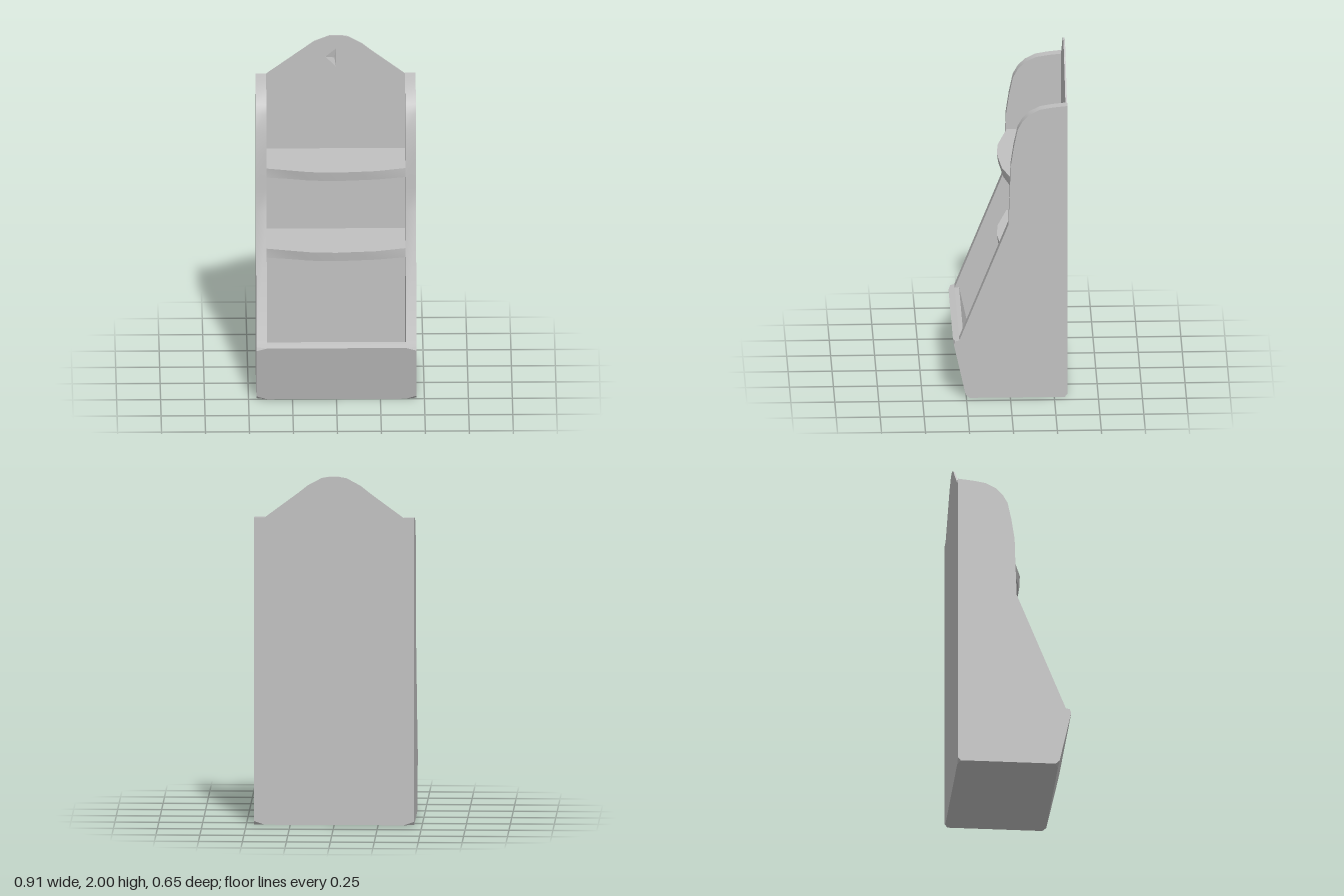
import * as THREE from 'three';
import { toCreasedNormals } from 'three/addons/utils/BufferGeometryUtils.js';

const INNER = 0.395, OUTER = 0.455, BACK = -0.325;
const paint = new THREE.MeshStandardMaterial({ color: 0xc0c0c0 });
paint.name = 'plain grey';

const shapeOf = pts => new THREE.Shape(pts.map(p => new THREE.Vector2(p[0], p[1])));

// Extrude a (z, y) profile from x1 down to x0
function alongX(pts, x0, x1) {
  const g = new THREE.ExtrudeGeometry(shapeOf(pts), { depth: x1 - x0, bevelEnabled: false });
  return g.rotateY(-Math.PI / 2).translate(x1, 0, 0);
}

export function createModel() {
  const group = new THREE.Group();
  const add = (name, geometry) => {
    const mesh = new THREE.Mesh(geometry, paint);
    mesh.name = name;
    group.add(mesh);
    return mesh;
  };

  // Side panels, with the outer corners clipped and the inner corners full
  const sideProfile = [
    [BACK, 0.02], [BACK + 0.015, 0], [0.232, 0], [0.2545, 0.02],
    [0.321, 0.322], [0.313, 0.344], [0.29, 0.35], [0.01, 1.05], [0.004, 1.2],
    [-0.002, 1.4], [-0.02, 1.52], [-0.042, 1.625], [-0.07, 1.675], [-0.11, 1.715],
    [-0.17, 1.745], [-0.24, 1.757], [BACK, 1.766],
  ];
  for (const s of [1, -1]) {
    const g = s > 0 ? alongX(sideProfile, INNER, OUTER) : alongX(sideProfile, -OUTER, -INNER);
    const p = g.attributes.position;
    for (let i = 0; i < p.count; i++) {
      if (Math.abs(p.getX(i)) > INNER + 0.01) continue;
      const y = p.getY(i), z = p.getZ(i);
      if (y < 0.03) p.setXYZ(i, p.getX(i), 0, z < 0 ? BACK : 0.25);
      else if (z > 0.3) p.setXYZ(i, p.getX(i), 0.34, 0.325);
    }
    add(s > 0 ? 'leftSide' : 'rightSide', toCreasedNormals(g, 0.5));
  }

  // Back panel with a peaked top
  const backOutline = [
    [-INNER, 0], [INNER, 0], [INNER, 1.765], [0.2, 1.91], [0.15, 1.95],
    [0.07, 1.993], [0.03, 2], [-0.03, 2], [-0.12, 1.965], [-INNER, 1.765],
  ];
  const notch = [[-0.057, 1.87], [0.003, 1.81], [0.003, 1.92]];
  const front = shapeOf(backOutline);
  front.holes.push(new THREE.Path(notch.map(p => new THREE.Vector2(p[0], p[1]))));
  add('backPanel', new THREE.ExtrudeGeometry(front, { depth: 0.009, bevelEnabled: false })
    .translate(0, 0, BACK + 0.001));
  add('backSheet', new THREE.ShapeGeometry(shapeOf(backOutline)).rotateY(Math.PI)
    .translate(0, 0, BACK));

  // Sunken notch near the peak
  const faces = [];
  for (let i = 0; i < 3; i++) {
    const a = notch[i], b = notch[(i + 1) % 3];
    faces.push(...a, BACK + 0.01, ...b, BACK + 0.01, -0.006, 1.862, BACK + 0.0015);
  }
  const notchGeo = new THREE.BufferGeometry();
  notchGeo.setAttribute('position', new THREE.Float32BufferAttribute(faces, 3));
  notchGeo.computeVertexNormals();
  add('hangingNotch', notchGeo);

  // Leaning front of the bin, and its floor
  add('binFront', alongX([[0.188, 0], [0.25, 0], [0.325, 0.34], [0.29, 0.35], [0.265, 0.354]],
    -INNER, INNER));
  add('binFloor', new THREE.BoxGeometry(2 * INNER, 0.01, 0.525).translate(0, 0.005, -0.0625));

  // Two bow-fronted shelves, slightly undercut at the front edge
  const shelfOutline = [
    [-INNER, 0.315], [-INNER, 0.005], [-0.27, -0.025], [-0.15, -0.053], [0, -0.063],
    [0.12, -0.052], [0.23, -0.041], [INNER, 0.005], [INNER, 0.315],
  ];
  for (const [name, y] of [['upperShelf', 1.255], ['lowerShelf', 0.765]]) {
    const g = new THREE.ExtrudeGeometry(shapeOf(shelfOutline), { depth: 0.055, bevelEnabled: false });
    g.rotateX(-Math.PI / 2);
    const p = g.attributes.position;
    for (let i = 0; i < p.count; i++) {
      if (p.getY(i) < 0.01 && p.getZ(i) > 0) p.setZ(i, p.getZ(i) - 0.009);
    }
    add(name, toCreasedNormals(g, 0.4)).position.y = y;
  }
  return group;
}
